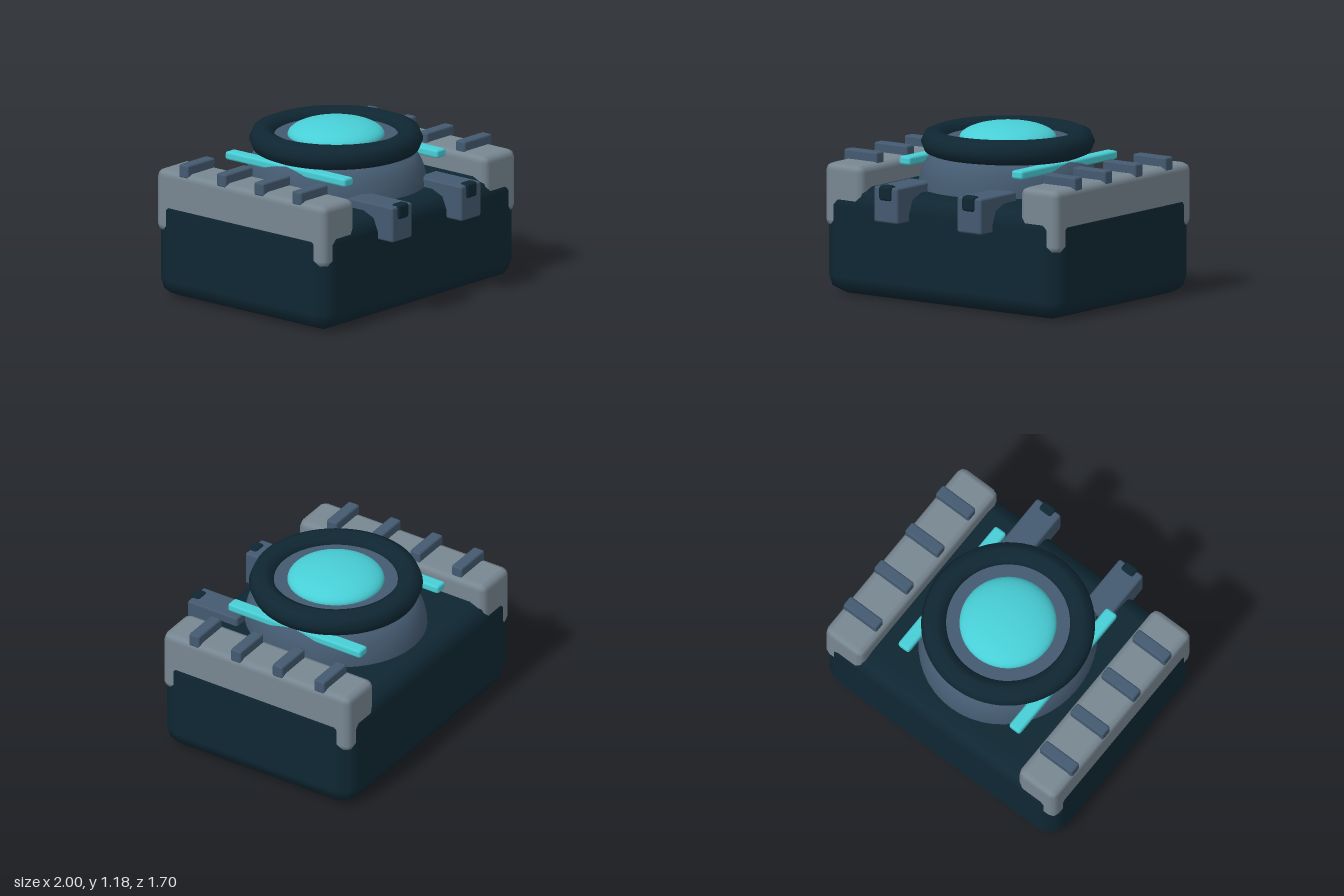
import * as THREE from 'three';
import { RoundedBoxGeometry } from 'three/addons/geometries/RoundedBoxGeometry.js';

const material = (name, color) => {
  const m = new THREE.MeshStandardMaterial({ color });
  m.name = name;
  return m;
};

export function createModel() {
  const model = new THREE.Group();
  model.name = 'deviceCase';
  const dark = material('darkNavy', 0x0f2733);
  const slate = material('slateBlue', 0x445a70);
  const grey = material('coolGrey', 0x788792);
  const cyan = material('cyan', 0x48ced6);

  const add = (name, geometry, mat, x = 0, y = 0, z = 0) => {
    const mesh = new THREE.Mesh(geometry, mat);
    mesh.name = name;
    mesh.position.set(x, y, z);
    model.add(mesh);
    return mesh;
  };
  // Bevelled box given by its minimum and maximum on each axis
  const box = (name, mat, [x0, x1], [y0, y1], [z0, z1], radius) =>
    add(name, new RoundedBoxGeometry(x1 - x0, y1 - y0, z1 - z0, 1, radius), mat,
      (x0 + x1) / 2, (y0 + y1) / 2, (z0 + z1) / 2);

  const midZ = -0.075;

  // Main body
  box('body', dark, [-1, 1], [0, 0.75], [-0.85, 0.7], 0.13);

  // Parts mirrored on both sides
  for (const [side, s] of [['left', 1], ['right', -1]]) {
    const span = (a, b) => (s > 0 ? [a, b] : [-b, -a]);

    // Rail sunk into the body, showing at its rounded corners
    box(side + 'Rail', grey, span(0.67, 0.992), [0.46, 0.9], [-0.837, 0.685], 0.05);
    for (let i = 0; i < 4; i++) {
      const z = 0.427 - i * 0.339;
      box(side + 'RailRib' + (i + 1), slate, span(0.702, 0.985), [0.87, 0.965], [z - 0.043, z + 0.043], 0.014);
    }

    // Light bar
    box(side + 'LightBar', cyan, span(0.43, 0.525), [0.9, 0.96], [-0.62, 0.46], 0.018);

    // Front latch and its button
    box(side + 'Latch', slate, span(0.252, 0.457), [0.565, 0.812], [0.425, 0.832], 0.016);
    box(side + 'LatchButton', dark, span(0.298, 0.407), [0.717, 0.825], [0.77, 0.847], 0.022);
  }

  // Slightly oval collar under the ring
  const profile = [[0.595, 0.72], [0.592, 0.78], [0.577, 0.85], [0.553, 0.91], [0.523, 0.95], [0.47, 0.99]]
    .map(([r, y]) => new THREE.Vector2(r, y));
  add('collar', new THREE.LatheGeometry(profile, 48), slate, 0, 0, midZ).scale.z = 1.065;

  // Eight-sided ring around the lens
  const ring = new THREE.TorusGeometry(0.5, 0.09, 8, 64).rotateX(Math.PI / 2);
  add('ring', ring, dark, 0, 1.045, midZ);

  // Lens seat and lens
  add('lensSeat', new THREE.CylinderGeometry(0.44, 0.44, 0.1, 48), slate, 0, 1.02, midZ);
  const dome = new THREE.SphereGeometry(0.33, 48, 12, 0, Math.PI * 2, 0, Math.PI / 2);
  add('lens', dome, cyan, 0, 1.07, midZ).scale.y = 1 / 3;

  return model;
}
